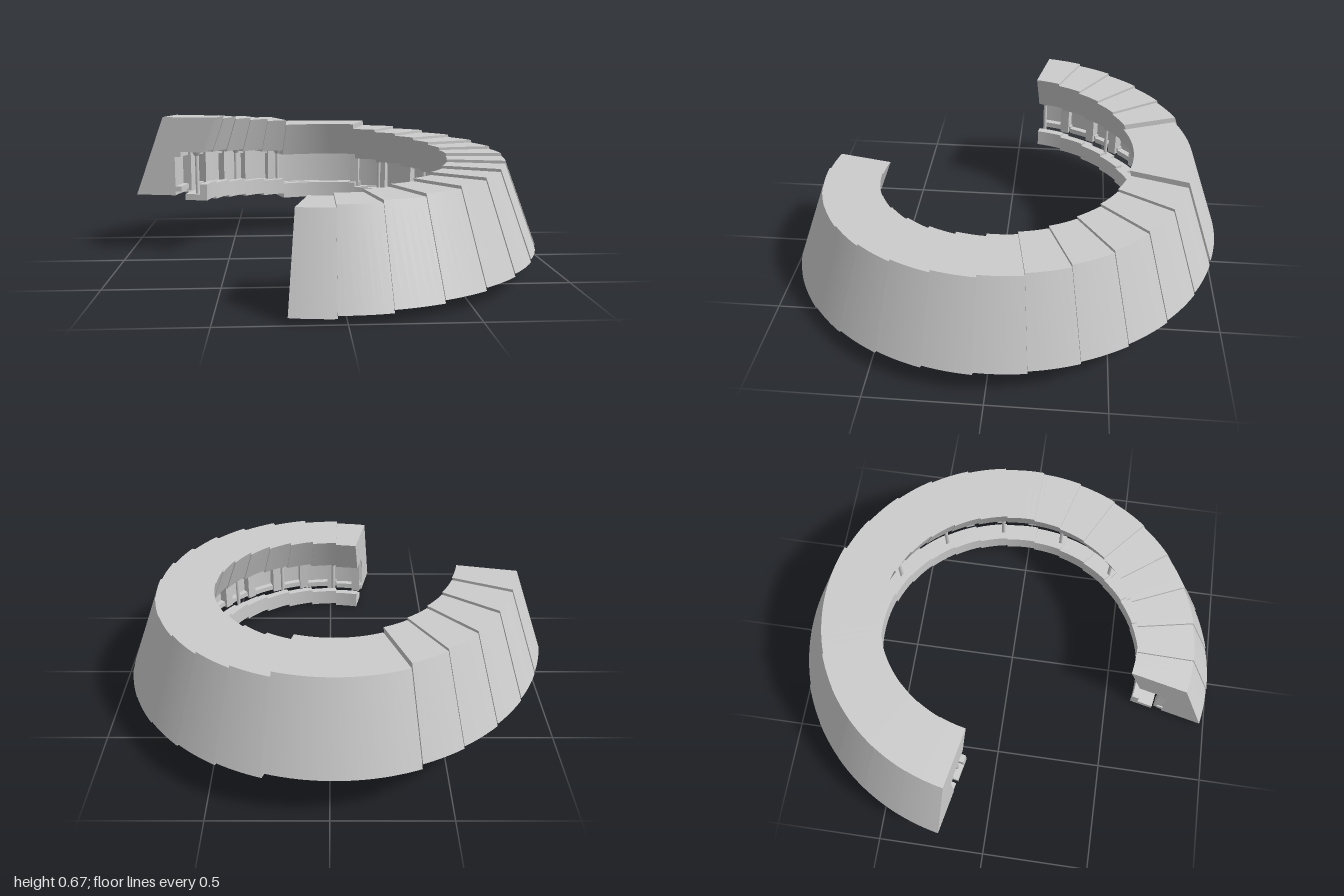
import * as THREE from 'three';
import { toCreasedNormals } from 'three/addons/utils/BufferGeometryUtils.js';

const CX = -0.017, SQUASH = 0.035;
const D = Math.PI / 180;

// Point on the oval plan: angle in degrees from the front towards +x
function plan(r, y, deg) {
  return [CX + (r - SQUASH) * Math.sin(deg * D), y, r * Math.cos(deg * D)];
}

// Sweep a counter-clockwise (radius, height) profile between two angles
function sector(a0, a1, profile) {
  const n = Math.ceil((a1 - a0) / 2.5);
  const pos = [];
  const at = (i, k) => plan(profile[i][0], profile[i][1], a0 + (a1 - a0) * k / n);
  const tri = (a, b, c) => pos.push(...a, ...b, ...c);
  for (let k = 0; k < n; k++) {
    for (let i = 0; i < profile.length; i++) {
      const j = (i + 1) % profile.length;
      tri(at(j, k), at(i, k), at(i, k + 1));
      tri(at(j, k), at(i, k + 1), at(j, k + 1));
    }
  }
  const outline = profile.map(p => new THREE.Vector2(p[0], p[1]));
  for (const [a, b, c] of THREE.ShapeUtils.triangulateShape(outline, [])) {
    tri(at(a, 0), at(b, 0), at(c, 0));
    tri(at(c, n), at(b, n), at(a, n));
  }
  const g = new THREE.BufferGeometry();
  g.setAttribute('position', new THREE.Float32BufferAttribute(pos, 3));
  return toCreasedNormals(g, 0.5);
}

const rect = (r0, r1, y0, y1) => [[r0, y0], [r1, y0], [r1, y1], [r0, y1]];

export function createModel() {
  const group = new THREE.Group();
  const mat = new THREE.MeshStandardMaterial({ color: 0xcccccc });
  const add = (name, geometry) => {
    const mesh = new THREE.Mesh(geometry, mat);
    mesh.name = name;
    group.add(mesh);
    return mesh;
  };
  const place = (mesh, r, y, deg) => {
    mesh.position.set(...plan(r, y, deg));
    mesh.rotation.y = deg * D;
  };

  // Segment boundaries: even steps, with one long level segment at the back
  const cuts = [-12.2];
  for (let i = 0; i < 14; i++) cuts.push(-1.3 + 12.64 * i);
  for (let i = 0; i < 6; i++) cuts.push(201 + 11.52 * i);

  for (let s = 0; s < cuts.length - 1; s++) {
    const a0 = cuts[s], a1 = cuts[s + 1];
    const top = 0.406 + 0.00102 * ((a0 + a1) / 2 + 12);
    const base = top - 0.386, soffit = top - 0.17;

    // Sloping outer wall with the overhanging upper block
    add('wallSegment', sector(a0, a1, [
      [0.80, base], [1.0, base], [0.855, top], [0.59, top], [0.655, soffit], [0.80, soffit],
    ]));

    // Walkway ledge with a raised inner kerb
    const low = base - 0.022;
    add('ledge', sector(a0, a1, [
      [0.64, low], [0.75, low], [0.75, low + 0.03], [0.675, low + 0.03], [0.675, low + 0.08], [0.64, low + 0.08],
    ]));

    // Window sill and head against the wall
    add('windowSill', sector(a0, a1, rect(0.77, 0.802, base + 0.02, base + 0.045)));
    add('windowHead', sector(a0, a1, rect(0.77, 0.802, soffit - 0.025, soffit + 0.002)));

    // Pier at the segment start
    const h = soffit - base - 0.01;
    place(add('pier', new THREE.BoxGeometry(0.045, h, 0.05)), 0.78, base + 0.012 + h / 2, a0 + 2.2);

    // Slim column with a capital at every second segment
    if (s % 2 === 1 || s === 19) {
      const y0 = low + 0.03, hc = soffit - y0;
      const deg = s === 19 ? a1 - 2 : a0 + 1.5;
      place(add('column', new THREE.CylinderGeometry(0.009, 0.009, hc, 12)), 0.695, y0 + hc / 2, deg);
      place(add('capital', new THREE.CylinderGeometry(0.022, 0.012, 0.02, 12)), 0.695, soffit - 0.01, deg);
    }
  }
  return group;
}
